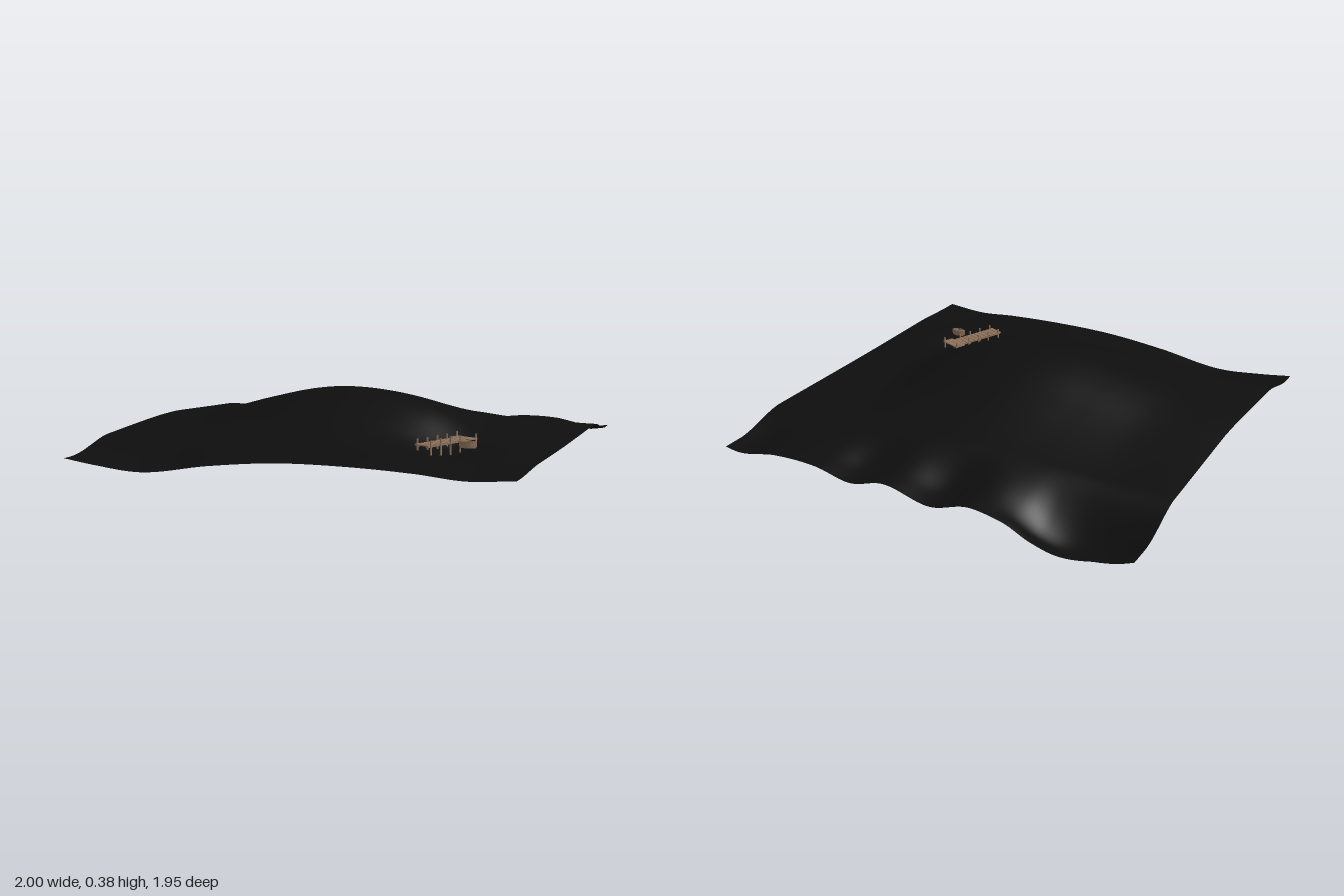
import * as THREE from 'three';

const black = new THREE.MeshStandardMaterial({ color: 0x0e0e0e, side: THREE.DoubleSide });
black.name = 'dark water';
const tan = new THREE.MeshStandardMaterial({ color: 0x8c705a });
tan.name = 'tan wood';

// Smooth curve through [position, height] pairs
function profile(points) {
  const curve = new THREE.CubicInterpolant(
    points.map((p) => p[0]), points.map((p) => p[1]), 1, [0]);
  return (t) => curve.evaluate(t)[0];
}

const ridgeX = profile([[-1, 0.19], [-0.7, 0.24], [-0.4, 0.32], [-0.2, 0.365], [-0.04, 0.38],
  [0.2, 0.36], [0.4, 0.31], [0.6, 0.22], [0.8, 0.185], [1, 0.16]]);
const ridgeZ = profile([[-1, 0.17], [-0.8, 0.185], [-0.6, 0.215], [-0.4, 0.265], [-0.2, 0.32],
  [0, 0.37], [0.14, 0.38], [0.2, 0.373], [0.4, 0.31], [0.63, 0.22], [0.75, 0.19], [1, 0.17]]);
const backEdge = profile([[-1, 0.1], [-0.85, 0.03], [-0.67, 0], [-0.55, 0.03], [-0.42, 0.105],
  [-0.27, 0.14], [-0.08, 0.093], [0.15, 0.14], [0.32, 0.1], [0.5, 0.135], [0.72, 0.135],
  [0.92, 0.1], [1, 0.11]]);
const frontEdge = profile([[-1, 0.12], [-0.85, 0.1], [-0.62, 0.083], [-0.3, 0.13], [0, 0.16],
  [0.3, 0.165], [0.6, 0.155], [0.8, 0.14], [1, 0.155]]);

// Broad swell that settles into rippled front and back borders
function waterHeight(x, z) {
  const base = 0.165;
  let y = base + (ridgeX(x) - base) * (ridgeZ(z) - base) / (0.38 - base);
  if (x < 0) y += 0.02 * THREE.MathUtils.smoothstep(-x, 0.6, 1) * (1 - Math.abs(z));
  y -= 0.04 * Math.exp(-((x - 0.57) ** 2 + (z - 0.46) ** 2) / 0.03);
  const back = THREE.MathUtils.smoothstep(-z, 0.58, 0.88);
  const front = THREE.MathUtils.smoothstep(z, 0.62, 0.93);
  y = THREE.MathUtils.lerp(y, backEdge(x), back);
  y = THREE.MathUtils.lerp(y, frontEdge(x), front);
  // The hem curls up a little at the back
  return y + 0.03 * THREE.MathUtils.smoothstep(-z, 0.89, 0.97) * THREE.MathUtils.smoothstep(-x, 0.3, 0.6)
    * THREE.MathUtils.smoothstep(1 + x, 0, 0.2);
}

function makeWater() {
  const geometry = new THREE.PlaneGeometry(2, 1.95, 96, 96).rotateX(-Math.PI / 2);
  const p = geometry.attributes.position;
  for (let i = 0; i < p.count; i++) p.setY(i, waterHeight(p.getX(i), p.getZ(i)));
  geometry.computeVertexNormals();
  const mesh = new THREE.Mesh(geometry, black);
  mesh.name = 'waterSurface';
  return mesh;
}

function addBox(parent, name, w, h, d, x, y, z) {
  const mesh = new THREE.Mesh(new THREE.BoxGeometry(w, h, d), tan);
  mesh.name = name;
  mesh.position.set(x, y, z);
  parent.add(mesh);
}

function makeDock() {
  const dock = new THREE.Group();
  dock.name = 'dock';
  // Walkway planks
  for (let i = 0; i < 10; i++) addBox(dock, 'plank', 0.075, 0.005, 0.022, 0, 0.209, -0.087 + i * 0.0255);
  // Wider platform at the end
  for (let i = 0; i < 2; i++) addBox(dock, 'platformPlank', 0.112, 0.005, 0.026, 0, 0.209, -0.141 + i * 0.028);
  for (const side of [-1, 1]) {
    addBox(dock, 'beam', 0.014, 0.005, 0.3, side * 0.028, 0.204, 0);
    // Posts
    for (const z of [-0.06, 0.005, 0.07, 0.135]) {
      addBox(dock, 'post', 0.006, 0.085, 0.006, side * 0.036, 0.189, z);
    }
    addBox(dock, 'platformPost', 0.006, 0.085, 0.006, side * 0.052, 0.189, -0.148);
  }
  dock.position.set(0.562, 0, 0.477);
  dock.rotation.y = -0.383;
  return dock;
}

// Pointed oval outline
function oval(Type, length, width) {
  const s = new Type();
  s.moveTo(-length / 2, 0);
  s.quadraticCurveTo(0, -width, length / 2, 0);
  s.quadraticCurveTo(0, width, -length / 2, 0);
  return s;
}

function makeBoat() {
  const boat = new THREE.Group();
  boat.name = 'rowboat';
  const addOval = (name, shape, depth, y) => {
    const g = new THREE.ExtrudeGeometry(shape, { depth, bevelEnabled: false, curveSegments: 6 });
    const mesh = new THREE.Mesh(g.rotateX(-Math.PI / 2), tan);
    mesh.name = name;
    mesh.position.y = y;
    boat.add(mesh);
  };
  const rim = oval(THREE.Shape, 0.076, 0.036);
  rim.holes.push(oval(THREE.Path, 0.06, 0.026));
  addOval('hullSide', rim, 0.022, 0.198);
  addOval('hullFloor', oval(THREE.Shape, 0.07, 0.032), 0.008, 0.192);
  // Seats
  for (const x of [-0.014, 0.014]) addBox(boat, 'seat', 0.008, 0.004, 0.028, x, 0.214, 0);
  boat.position.set(0.673, 0, 0.51);
  return boat;
}

export function createModel() {
  const model = new THREE.Group();
  model.name = 'waterWithDock';
  model.add(makeWater(), makeDock(), makeBoat());
  return model;
}
